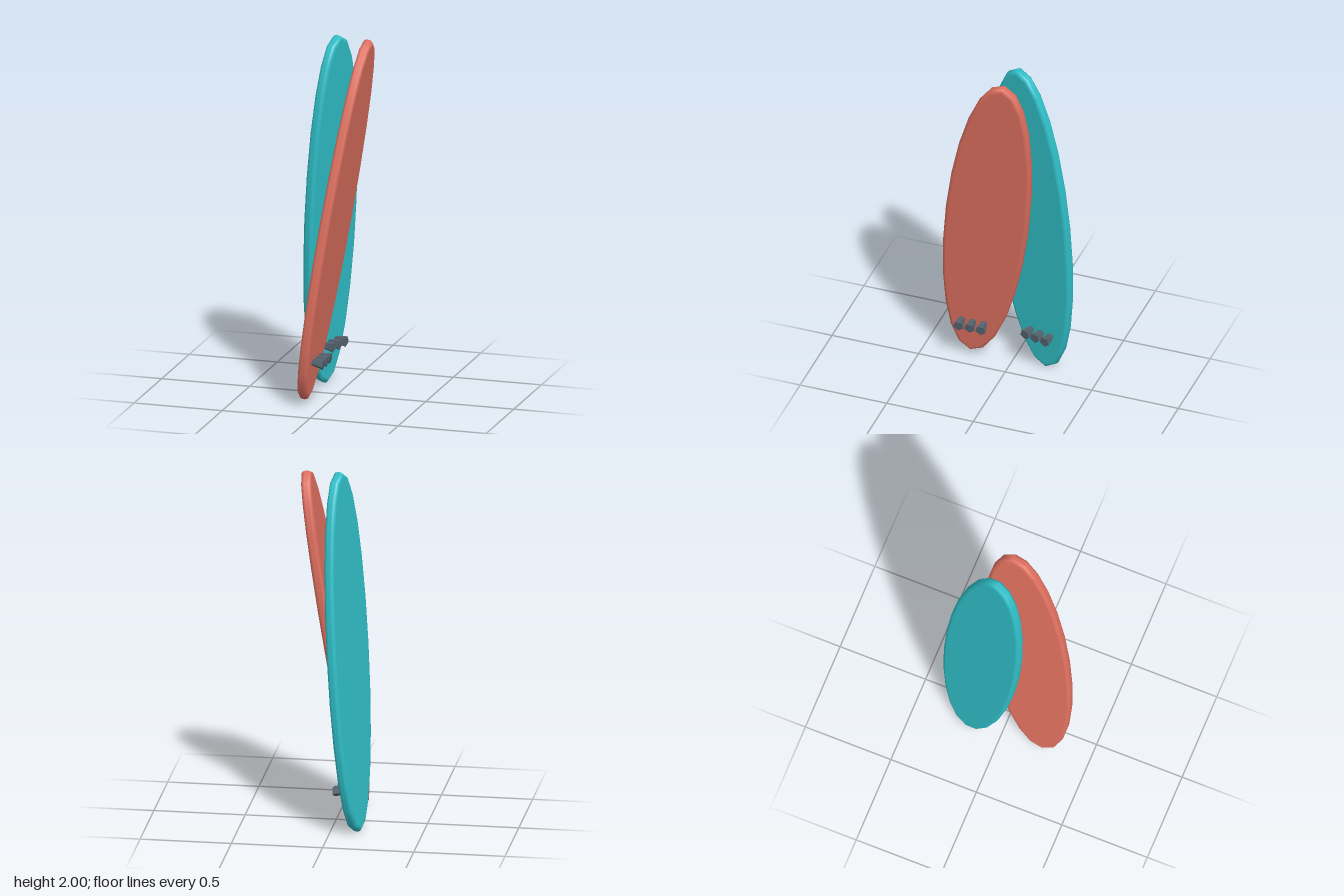
import * as THREE from 'three';
import { toCreasedNormals } from 'three/addons/utils/BufferGeometryUtils.js';

const HALF_LENGTH = 1.002, HALF_WIDTH = 0.237, BEVEL = 0.02, CORE = 0.016;
const FACE = CORE / 2 + BEVEL; // distance from mid-plane to the flat face

// Elliptical board with a soft rounded rail and flat faces
function boardGeometry() {
  const shape = new THREE.Shape();
  shape.absellipse(0, 0, HALF_WIDTH - BEVEL, HALF_LENGTH - BEVEL, 0, Math.PI * 2);
  const extruded = new THREE.ExtrudeGeometry(shape, {
    depth: CORE, curveSegments: 12, bevelEnabled: true,
    bevelThickness: BEVEL, bevelSize: BEVEL, bevelSegments: 3,
  });
  extruded.translate(0, 0, -CORE / 2);
  const geometry = toCreasedNormals(extruded, 1.2);
  // keep both flat faces flat shaded
  const { start, count } = extruded.groups[0];
  const { position, normal } = geometry.attributes;
  for (let i = start; i < start + count; i++) {
    normal.setXYZ(i, 0, 0, Math.sign(position.getZ(i)));
  }
  geometry.clearGroups();
  return geometry;
}

// Five-sided fin, flaring outwards from the board
function finGeometry() {
  const geometry = new THREE.CylinderGeometry(0.031, 0.013, 0.09, 5);
  geometry.rotateX(Math.PI / 2);
  geometry.translate(0, 0, 0.02);
  return geometry;
}

export function createModel() {
  const teal = new THREE.MeshStandardMaterial({ color: 0x30bfc8 });
  teal.name = 'teal';
  const coral = new THREE.MeshStandardMaterial({ color: 0xdf7060 });
  coral.name = 'coral';
  const slate = new THREE.MeshStandardMaterial({ color: 0x55636e, flatShading: true });
  slate.name = 'slate';

  const boardGeo = boardGeometry();
  const finGeo = finGeometry();

  // axis: long direction, normal: direction the finned face looks
  function makeBoard(name, material, centre, axis, normal, finHeight, finRoll) {
    const group = new THREE.Group();
    group.name = name;
    const up = new THREE.Vector3(...axis).normalize();
    const side = new THREE.Vector3().crossVectors(up, new THREE.Vector3(...normal)).normalize();
    const out = new THREE.Vector3().crossVectors(side, up);
    group.quaternion.setFromRotationMatrix(new THREE.Matrix4().makeBasis(side, up, out));
    group.position.set(...centre);

    const deck = new THREE.Mesh(boardGeo, material);
    deck.name = name + 'Deck';
    group.add(deck);

    // Row of three fins near the tail
    const fins = new THREE.Group();
    fins.name = name + 'Fins';
    fins.position.set(0, finHeight, FACE);
    fins.rotation.z = finRoll;
    for (let i = -1; i <= 1; i++) {
      const fin = new THREE.Mesh(finGeo, slate);
      fin.name = 'fin';
      fin.position.x = i * 0.064;
      fins.add(fin);
    }
    group.add(fins);
    return group;
  }

  const model = new THREE.Group();
  model.name = 'surfboards';
  model.add(
    makeBoard('tealBoard', teal, [-0.082, 1.002, -0.13], [0.06, 1, 0.063], [1, -0.076, 0.256], -0.765, -0.03),
    makeBoard('coralBoard', coral, [0.02, 1.012, 0.095], [0.1415, 1, -0.147], [1, -0.1415, 0], -0.775, 0.145),
  );
  return model;
}
